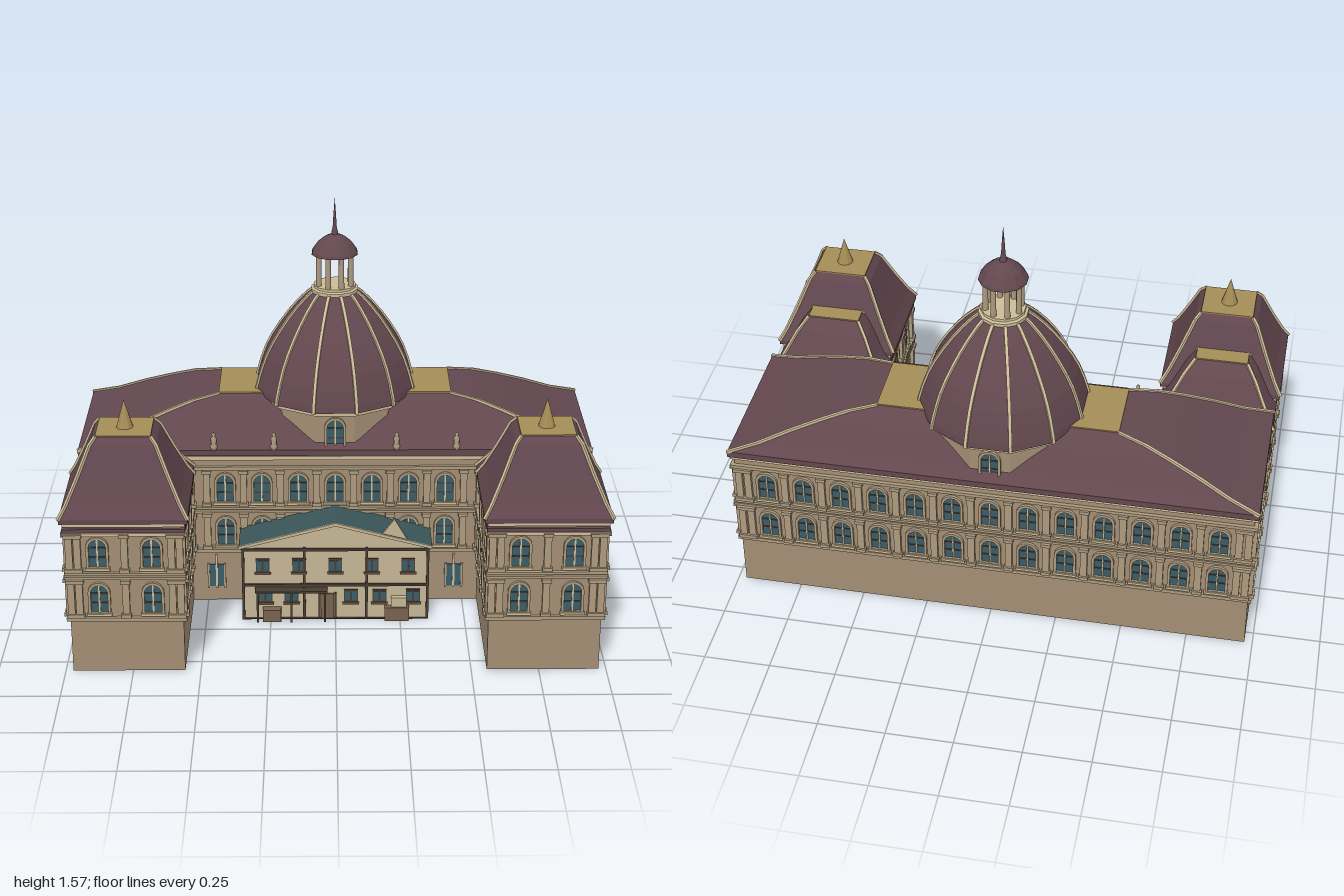
import * as THREE from 'three';

const mat = (name, color) => {
  const m = new THREE.MeshStandardMaterial({ color });
  m.name = name;
  return m;
};

export function createModel() {
  const root = new THREE.Group();
  root.name = 'palace';
  const wall = mat('wall tan', 0xa38e74), stone = mat('pilaster stone', 0xae9b7e);
  const trim = mat('cream trim', 0xcdbd97), roof = mat('plum roof', 0x63474f);
  const gold = mat('gold', 0xa58d57), glass = mat('teal glass', 0x3a5d68);
  const teal = mat('hall roof teal', 0x3a5558), plaster = mat('plaster', 0xc6b694);
  const timber = mat('dark timber', 0x4a3d33), wood = mat('brown wood', 0x7a624d);

  const add = (name, geo, m, x = 0, y = 0, z = 0, parent = root) => {
    const o = new THREE.Mesh(geo, m);
    o.name = name;
    o.position.set(x, y, z);
    parent.add(o);
    return o;
  };
  const flat = g => {
    const n = g.index ? g.toNonIndexed() : g;
    n.computeVertexNormals();
    return n;
  };
  // box given by its limits
  const block = (name, m, x0, x1, y0, y1, z0, z1, parent = root) =>
    add(name, new THREE.BoxGeometry(x1 - x0, y1 - y0, z1 - z0), m, (x0 + x1) / 2, (y0 + y1) / 2, (z0 + z1) / 2, parent);
  const beam = (name, m, a, b, w) => {
    const o = add(name, new THREE.BoxGeometry(w, w, a.distanceTo(b) + w / 3), m);
    o.position.copy(a).lerp(b, 0.5);
    o.lookAt(b);
  };

  // curved hipped roof: rectangle shrinking to a flat top, profile = [inset fraction, y]
  function hipRoof(name, base, top, profile) {
    const rings = profile.map(([t, y]) => {
      const [x0, x1, z0, z1] = base.map((b, i) => b + (top[i] - b) * t);
      return [[x0, z1], [x1, z1], [x1, z0], [x0, z0]].map(([x, z]) => new THREE.Vector3(x, y, z));
    });
    const pts = [];
    const quad = (a, b, c, d) => pts.push(a, b, c, a, c, d);
    for (let k = 0; k + 1 < rings.length; k++)
      for (let i = 0; i < 4; i++) {
        const j = (i + 1) % 4;
        quad(rings[k][i], rings[k][j], rings[k + 1][j], rings[k + 1][i]);
        if (k > 0) beam(name + 'HipRib', trim, rings[k][i], rings[k + 1][i], 0.011);
      }
    quad(...[...rings[0]].reverse());
    quad(...rings.at(-1));
    const g = new THREE.BufferGeometry().setFromPoints(pts);
    g.computeVertexNormals();
    add(name, g, roof);
    const y = profile.at(-1)[1];
    block(name + 'Platform', gold, top[0], top[1], y - 0.006, y + 0.005, top[2], top[3]);
  }

  // arched window parts, facing +z with the sill at y = 0
  const arch = (C, w, y0, h) => {
    const s = new C();
    s.moveTo(-w, y0);
    s.lineTo(w, y0);
    s.lineTo(w, h - w);
    s.absarc(0, h - w, w, 0, Math.PI, false);
    s.lineTo(-w, y0);
    return s;
  };
  const surround = arch(THREE.Shape, 0.041, 0, 0.133);
  surround.holes.push(arch(THREE.Path, 0.031, 0.012, 0.122));
  const frameGeo = new THREE.ExtrudeGeometry(surround, { depth: 0.011, bevelEnabled: false, curveSegments: 6 });
  const paneGeo = new THREE.ShapeGeometry(arch(THREE.Shape, 0.034, 0.008, 0.125), 6);
  const upright = new THREE.BoxGeometry(0.006, 0.108, 0.005);
  const rail = new THREE.BoxGeometry(0.06, 0.005, 0.005);
  const sill = new THREE.BoxGeometry(0.09, 0.01, 0.018);
  function windowAt(parent, u, y) {
    const g = new THREE.Group();
    g.name = 'archedWindow';
    g.position.set(u, y, 0);
    parent.add(g);
    add('surround', frameGeo, stone, 0, 0, 0, g);
    add('pane', paneGeo, glass, 0, 0, 0.002, g);
    add('mullion', upright, trim, 0, 0.066, 0.004, g);
    for (const v of [0.05, 0.088]) add('glazingBar', rail, timber, 0, v, 0.003, g);
    add('sill', sill, trim, 0, 0.004, 0.007, g);
  }
  const shaft = new THREE.BoxGeometry(0.026, 0.145, 0.014);
  const cap = new THREE.BoxGeometry(0.036, 0.014, 0.022);
  function pilasterAt(parent, u, y) {
    add('pilaster', shaft, stone, u, y + 0.075, 0.007, parent);
    for (const v of [0.007, 0.145]) add('pilasterCap', cap, stone, u, y + v, 0.01, parent);
  }
  // a wall face with two storeys; u runs to the right as seen from outside
  function facade(name, x, z, angle, windows, pilasters, groundOnly = []) {
    const g = new THREE.Group();
    g.name = name;
    g.position.set(x, 0, z);
    g.rotation.y = angle;
    root.add(g);
    for (const y of [0.228, 0.412]) {
      windows.forEach(u => windowAt(g, u, y + 0.006));
      pilasters.forEach(u => pilasterAt(g, u, y));
    }
    groundOnly.forEach(u => windowAt(g, u, 0.234));
  }
  const row = (n, step) => Array.from({ length: n }, (_, i) => (i - (n - 1) / 2) * step);

  // main block with string courses
  block('mainWalls', wall, -0.97, 0.97, 0, 0.635, -0.555, 0.005);
  for (const [y0, y1, o, m] of [[0.211, 0.226, 0.012, stone], [0.382, 0.392, 0.012, stone], [0.398, 0.408, 0.014, stone],
    [0.565, 0.578, 0.014, stone], [0.606, 0.622, 0.012, trim]])
    block('mainCornice', m, -0.97 - o, 0.97 + o, y0, y1, -0.555 - o, 0.005 + o);
  facade('mainFront', 0, 0.005, 0, row(7, 0.1417), row(8, 0.1417));
  facade('mainBack', 0, -0.555, Math.PI, row(13, 0.1417), [...row(14, 0.1417), -0.955, 0.955]);
  for (const s of [1, -1])
    facade('mainSide', s * 0.97, -0.275, s * Math.PI / 2, row(3, 0.172), row(4, 0.176));
  hipRoof('mainRoof', [-0.985, 0.985, -0.583, 0.025], [-0.45, 0.45, -0.41, -0.15],
    [[0, 0.628], [0, 0.652], [0.2, 0.682], [0.42, 0.73], [0.62, 0.768], [0.8, 0.798], [1, 0.816]]);

  // side wings with tower roofs
  for (const s of [1, -1]) {
    const c = s * 0.765;
    block('wingWalls', wall, c - 0.207, c + 0.207, 0, 0.58, 0, 0.565);
    block('towerWalls', wall, c - 0.207, c + 0.207, 0.5, 0.61, 0.185, 0.565);
    for (const [y0, y1, o, m] of [[0.211, 0.226, 0.013, stone], [0.382, 0.392, 0.014, stone], [0.398, 0.408, 0.014, stone], [0.556, 0.568, 0.014, trim]])
      block('wingCornice', m, c - 0.207 - o, c + 0.207 + o, y0, y1, 0, 0.565 + o);
    block('towerEaves', roof, c - 0.222, c + 0.222, 0.57, 0.584, 0.17, 0.578);
    block('towerFrieze', trim, c - 0.22, c + 0.22, 0.592, 0.606, 0.172, 0.576);
    facade('wingFront', c, 0.565, 0, [-0.098, 0.098], [-0.2, -0.17, 0, 0.17, 0.2]);
    for (const d of [1, -1])
      facade('wingSide', c + d * 0.207, 0.285, d * Math.PI / 2, [d * -0.172, d * -0.005],
        [d * -0.268, d * -0.09, d * 0.088, d * 0.265], [d * 0.175]);
    hipRoof('towerRoof', [c - 0.232, c + 0.232, 0.168, 0.58], [c - 0.1, c + 0.1, 0.283, 0.457],
      [[0, 0.604], [0, 0.622], [0.2, 0.668], [0.52, 0.762], [0.85, 0.868], [1, 0.893]]);
    hipRoof('linkRoof', [c - 0.222, c + 0.222, 0.005, 0.375], [c - 0.1, c + 0.1, 0.155, 0.225],
      [[0, 0.565], [0, 0.58], [0.35, 0.645], [0.7, 0.72], [1, 0.765]]);
    add('towerFinial', flat(new THREE.ConeGeometry(0.032, 0.108, 10)), gold, c, 0.95, 0.37);
  }

  // twelve-sided drum and ribbed dome
  const cz = -0.273, turn = Math.PI / 12;
  const lathe = (name, m, pts, n = 12) =>
    add(name, flat(new THREE.LatheGeometry(pts.map(p => new THREE.Vector2(...p)), n, turn)), m, 0, 0, cz);
  lathe('drum', wall, [[0.284, 0.58], [0.284, 0.8], [0, 0.8]]);
  lathe('drumCornice', trim, [[0.284, 0.785], [0.305, 0.79], [0.305, 0.806], [0, 0.806]]);
  for (const d of [1, -1]) {
    const g = new THREE.Group();
    g.name = 'drumWindow';
    g.position.set(0, 0, cz + d * 0.275);
    g.rotation.y = d > 0 ? 0 : Math.PI;
    root.add(g);
    windowAt(g, 0, 0.645);
  }
  const dome = [[0.316, 0.805], [0.312, 0.83], [0.295, 0.89], [0.275, 0.945], [0.25, 0.995], [0.219, 1.045], [0.184, 1.095], [0.147, 1.14], [0.11, 1.178], [0.082, 1.2]];
  lathe('dome', roof, [[0, 0.805], ...dome]);
  for (let i = 0; i < 12; i++) {
    const a = turn + i * Math.PI / 6;
    const at = ([r, y]) => new THREE.Vector3(r * Math.sin(a), y, cz + r * Math.cos(a));
    for (let k = 0; k + 1 < dome.length; k++) beam('domeRib', trim, at(dome[k]), at(dome[k + 1]), 0.012);
  }
  // lantern, cupola and spire
  lathe('lanternBase', trim, [[0, 1.195], [0.092, 1.195], [0.092, 1.208], [0.082, 1.212], [0.082, 1.222], [0, 1.222]]);
  for (let i = 0; i < 8; i++) {
    const a = (i + 0.5) * Math.PI / 4;
    add('lanternColumn', new THREE.CylinderGeometry(0.01, 0.011, 0.135, 8), stone, 0.066 * Math.sin(a), 1.285, cz + 0.066 * Math.cos(a));
  }
  lathe('cupola', roof, [[0, 1.345], [0.091, 1.345], [0.088, 1.356], [0.066, 1.388], [0.04, 1.41], [0.014, 1.422], [0.008, 1.45], [0.005, 1.5], [0, 1.565]]);

  // eaves statues
  const statue = new THREE.LatheGeometry([[0, 0], [0.014, 0], [0.014, 0.018], [0.009, 0.022], [0.012, 0.048], [0.005, 0.056], [0.008, 0.064], [0, 0.074]]
    .map(p => new THREE.Vector2(...p)), 8);
  for (const x of [-0.465, -0.235, 0.235, 0.465]) add('statue', statue, stone, x, 0.648, 0.012);

  // ground-floor windows beside the hall
  for (const x of [-0.465, 0.465]) {
    block('basementPane', glass, x - 0.03, x + 0.03, 0.06, 0.155, 0.005, 0.009);
    for (const d of [-0.032, 0, 0.032]) block('basementBar', d ? stone : trim, x + d - 0.004, x + d + 0.004, 0.055, d ? 0.16 : 0.2, 0.005, 0.014);
  }

  // timber-framed hall in the courtyard
  const extrude = (pts, depth) => new THREE.ExtrudeGeometry(new THREE.Shape(pts.map(p => new THREE.Vector2(...p))), { depth, bevelEnabled: false });
  add('hallWalls', extrude([[-0.355, 0.002], [0.355, 0.002], [0.355, 0.305], [0, 0.4], [-0.355, 0.305]], 0.16), plaster);
  const slope = [[-0.37, 0.303], [0, 0.4], [0.37, 0.303], [0.37, 0.315], [0, 0.413], [-0.37, 0.315]];
  add('hallRoof', extrude(slope, 0.17), teal);
  add('hallBargeboard', extrude(slope, 0.006), plaster, 0, 0, 0.17);
  add('hallGablet', extrude([[0.17, 0.35], [0.28, 0.33], [0.225, 0.425]], 0.012), plaster, 0, 0, 0.155);
  const F = 0.16;
  const face = (name, m, x0, x1, y0, y1, d = 0.008) => block(name, m, x0, x1, y0, y1, F, F + d);
  for (const x of [-0.355, -0.12, 0.12, 0.355]) face('hallPost', timber, x - 0.005, x + 0.005, 0, 0.305);
  for (const y of [0.145, 0.296]) face('hallRail', timber, -0.36, 0.36, y - 0.005, y + 0.005);
  const hallWindow = (x, y, w, h) => {
    face('hallWindowFrame', timber, x - w, x + w, y, y + h, 0.005);
    for (const d of [-1, 1]) face('hallWindowPane', glass, x + d * w / 2 - w * 0.36, x + d * w / 2 + w * 0.36, y + 0.008, y + h - 0.008, 0.007);
    face('hallWindowSill', wood, x - w - 0.005, x + w + 0.005, y - 0.007, y, 0.012);
  };
  for (const x of row(5, 0.14)) hallWindow(x, 0.2, 0.026, 0.058);
  for (const x of [-0.27, -0.17, 0.06, 0.17, 0.3]) hallWindow(x, 0.07, 0.027, 0.055);
  face('hallDoor', wood, -0.057, -0.005, 0, 0.108);
  for (const x of [-0.062, 0]) face('doorJamb', timber, x - 0.004, x + 0.004, 0, 0.112, 0.01);
  block('hallFloor', timber, -0.36, 0.36, -0.001, 0.002, 0, 0.17);
  for (const s of [1, -1])
    for (const y of [0.145, 0.296]) block('hallSideRail', timber, s * 0.357 - 0.004, s * 0.357 + 0.004, y - 0.005, y + 0.005, 0, F);

  // porch canopy and market goods
  block('canopy', timber, -0.31, -0.03, 0.126, 0.134, F, 0.2);
  for (const x of [-0.3, -0.17, -0.04]) block('canopyPost', timber, x - 0.004, x + 0.004, 0, 0.13, 0.19, 0.198);
  block('crate', wood, -0.28, -0.21, 0, 0.05, F, 0.195);
  block('stall', wood, 0.19, 0.285, 0, 0.055, F, 0.188);
  block('stallGoods', plaster, 0.215, 0.275, 0.055, 0.095, F, 0.18);
  return root;
}
